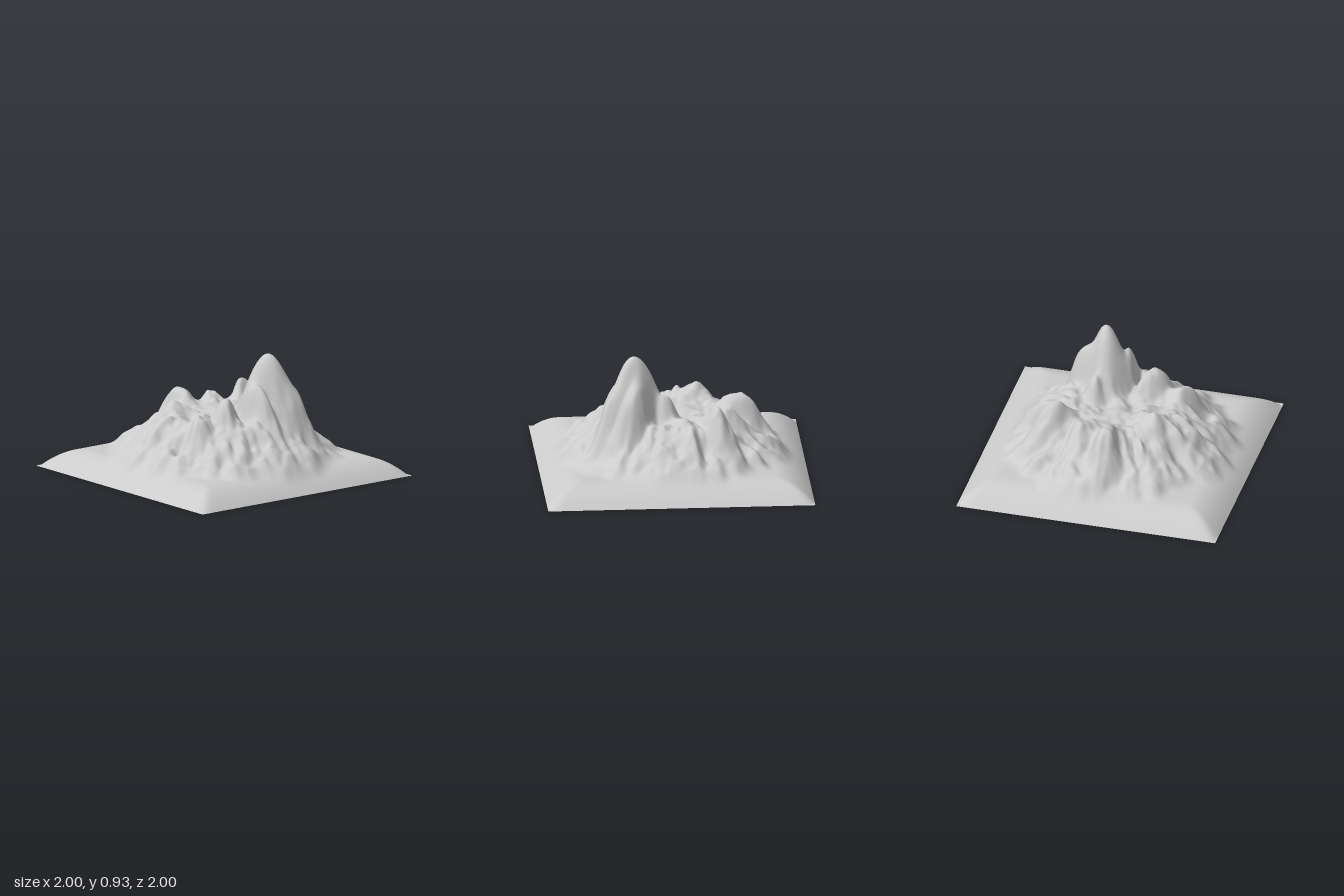
import * as THREE from 'three';

const clamp = THREE.MathUtils.clamp;
const lerp = THREE.MathUtils.lerp;
const smooth = THREE.MathUtils.smoothstep;

// Summits: x, z, height above the plinth, radial width, sideways width
const SUMMITS = [
  [0.29, -0.18, 0.785, 0.27, 0.19], // main peak
  [0.43, -0.27, 0.5, 0.2, 0.13], // its outer shoulder
  [0.3, -0.34, 0.58, 0.2, 0.12], // its rear shoulder
  [0.07, -0.22, 0.46, 0.14, 0.13], // its inner shoulder
  [0.35, -0.02, 0.56, 0.26, 0.1], // spur beside the main peak
  [0.25, 0.19, 0.48, 0.22, 0.14],
  [0.25, 0.4, 0.38, 0.2, 0.14],
  [-0.2, 0.32, 0.37, 0.22, 0.16],
  [-0.5, 0.02, 0.41, 0.22, 0.14],
  [-0.3, -0.42, 0.45, 0.22, 0.13],
  [-0.38, -0.2, 0.34, 0.2, 0.14],
  [-0.08, -0.44, 0.35, 0.24, 0.16],
];

// Repeatable value noise in three dimensions
function hash(x, y, z) {
  let h = Math.imul(x, 374761393) ^ Math.imul(y, 668265263) ^ Math.imul(z, 1274126177);
  h = Math.imul(h ^ (h >>> 13), 1103515245);
  return ((h ^ (h >>> 16)) >>> 0) / 4294967295;
}

function noise(x, y, z) {
  const [i, j, k] = [x, y, z].map(Math.floor);
  const [u, v, w] = [x - i, y - j, z - k].map((t) => t * t * (3 - 2 * t));
  const row = (b, c) => lerp(hash(i, b, c), hash(i + 1, b, c), u);
  const layer = (c) => lerp(row(j, c), row(j + 1, c), v);
  return lerp(layer(k), layer(k + 1), w);
}

// Plinth: level in the middle, curving down to the square rim with soft mitres
function plinthHeight(x, z) {
  const drop = (v) => Math.pow(1 - clamp((1 - Math.abs(v)) / 0.28, 0, 1), 2);
  return 0.14 * Math.max(0, 1 - Math.hypot(drop(x) ** 2, drop(z) ** 2) ** 0.5);
}

// Massif: a broad dome blended with the summits, cut by gullies running outward
function massifHeight(x, z) {
  const r = Math.hypot(x, z);
  const a = Math.atan2(z, x);
  const c = Math.cos(a);
  const s = Math.sin(a);
  const foot = 0.91 + 0.08 * (noise(c * 9 + 9, s * 9 + 9, 3) - 0.5);
  const t = clamp((foot - r) / 0.48, 0, 1);
  const dome = 0.15 * (t + t * t * (3 - 2 * t));

  // Bend the ground a little so the ridges wander
  const px = x + 0.05 * (noise(x * 7, z * 7, 11.3) - 0.5);
  const pz = z + 0.05 * (noise(x * 7, z * 7, 27.7) - 0.5);
  let sum = Math.pow(dome, 6);
  for (const [sx, sz, h, along, across] of SUMMITS) {
    const d = Math.hypot(sx, sz);
    const u = ((px - sx) * sx + (pz - sz) * sz) / d / along;
    const v = ((pz - sz) * sx - (px - sx) * sz) / d / across;
    sum += Math.pow(h * Math.exp(-Math.pow(u * u + v * v, 1.12)), 6);
  }
  const body = Math.pow(sum, 1 / 6) * (1 - smooth(r, foot - 0.13, foot + 0.04));

  // Gullies fade out at the foot, the centre and the highest crest
  const gully = noise(c * 6 + 20, s * 6 + 20, r * 5) - 0.5
    + 0.7 * (noise(c * 13 + 40, s * 13 + 40, r * 8) - 0.5);
  const lumps = noise(x * 10 + 50, z * 10 + 50, 5) - 0.5
    + 0.5 * (noise(x * 21 + 70, z * 21 + 70, 8) - 0.5);
  const strength = smooth(body, 0, 0.12) * (1 - 0.85 * smooth(body, 0.42, 0.65));
  return body + strength * (0.06 * smooth(r, 0.2, 0.6) * gully + 0.05 * lumps);
}

export function createModel() {
  const model = new THREE.Group();
  model.name = 'mountainModel';

  // One open sheet lifted by the height rules
  const sheet = new THREE.PlaneGeometry(2, 2, 220, 220).rotateX(-Math.PI / 2);
  const p = sheet.attributes.position;
  for (let i = 0; i < p.count; i++) {
    const x = p.getX(i);
    const z = p.getZ(i);
    p.setY(i, plinthHeight(x, z) + massifHeight(x, z));
  }
  sheet.computeVertexNormals();

  const terrain = new THREE.Mesh(
    sheet,
    new THREE.MeshStandardMaterial({ color: 0xcccccc, side: THREE.DoubleSide })
  );
  terrain.name = 'mountainTerrain';
  model.add(terrain);
  return model;
}
